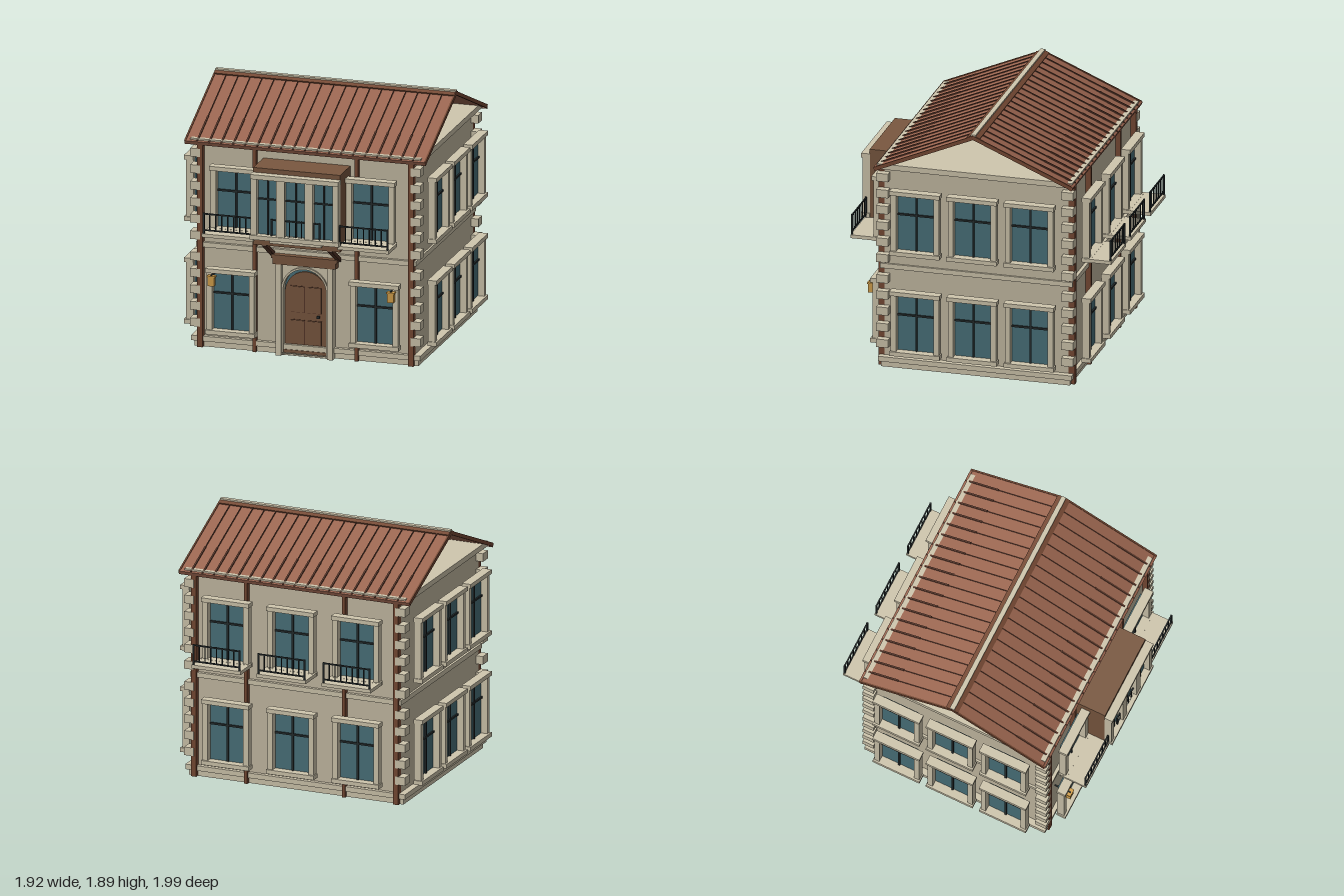
import * as THREE from 'three';

const mat = (color) => new THREE.MeshStandardMaterial({ color });
const M = {
  wall: mat(0xc6bca4), trim: mat(0xd0c7ae), wood: mat(0x7a5840), dark: mat(0x553527),
  post: mat(0x774a34), roof: mat(0x9c6650), seam: mat(0x5d3a2c), glass: mat(0x4a727b),
  iron: mat(0x252c2d), lamp: mat(0xd6a24c),
};

// Box given by its min and max on each axis
function box(parent, name, m, x0, x1, y0, y1, z0, z1) {
  const mesh = new THREE.Mesh(new THREE.BoxGeometry(x1 - x0, y1 - y0, z1 - z0), m);
  mesh.position.set((x0 + x1) / 2, (y0 + y1) / 2, (z0 + z1) / 2);
  mesh.name = name;
  parent.add(mesh);
  return mesh;
}

function group(parent, name, x = 0, y = 0, z = 0, ry = 0) {
  const g = new THREE.Group();
  g.name = name;
  g.position.set(x, y, z);
  g.rotation.y = ry;
  parent.add(g);
  return g;
}

// Framed window, bottom of the sill at y, back plane on local z = 0
function addWindow(parent, x, y, z, ry) {
  const g = group(parent, 'window', x, y, z, ry);
  box(g, 'glass', M.glass, -0.142, 0.142, 0.03, 0.47, -0.012, 0.006);
  box(g, 'mullion', M.iron, -0.007, 0.007, 0.03, 0.47, 0.002, 0.018);
  box(g, 'transomBar', M.iron, -0.142, 0.142, 0.3, 0.314, 0.002, 0.018);
  for (const s of [-1, 1]) box(g, 'jamb', M.trim, s * 0.161 - 0.02, s * 0.161 + 0.02, 0.03, 0.467, 0, 0.056);
  box(g, 'sill', M.trim, -0.189, 0.189, 0, 0.032, 0, 0.07);
  box(g, 'lintel', M.trim, -0.189, 0.189, 0.465, 0.497, 0, 0.07);
}

// Slab with an iron railing along its outer edge
function addBalcony(parent, x, z, ry) {
  const g = group(parent, 'balcony', x, 0, z, ry);
  box(g, 'balconySlab', M.trim, -0.195, 0.195, 0.912, 0.938, 0.02, 0.225);
  for (const y of [0.965, 1.088]) box(g, 'rail', M.iron, -0.187, 0.187, y - 0.005, y + 0.005, 0.211, 0.221);
  for (let i = 0; i < 9; i++) {
    const bx = -0.182 + i * 0.0455;
    const end = i % 8 === 0 ? 0.006 : 0.0035;
    box(g, 'baluster', M.iron, bx - end, bx + end, end > 0.005 ? 0.938 : 0.96, 1.095, 0.216 - end, 0.216 + end);
  }
}

// Upright shape with a semicircular top
function archPath(Type, r, y0, spring) {
  const p = new Type();
  p.moveTo(-r, y0);
  p.lineTo(r, y0);
  p.lineTo(r, spring);
  p.absarc(0, spring, r, 0, Math.PI, false);
  p.lineTo(-r, y0);
  return p;
}

function extrude(parent, name, m, shape, z0, depth) {
  const mesh = new THREE.Mesh(
    new THREE.ExtrudeGeometry(shape, { depth, bevelEnabled: false, curveSegments: 20 }), m);
  mesh.position.z = z0;
  mesh.name = name;
  parent.add(mesh);
}

function addEntrance(parent) {
  const g = group(parent, 'entrance');
  // Arched surround with its raised ring
  const panel = new THREE.Shape();
  panel.moveTo(-0.18, 0);
  panel.lineTo(0.18, 0);
  panel.lineTo(0.18, 0.695);
  panel.lineTo(-0.18, 0.695);
  panel.holes.push(archPath(THREE.Path, 0.165, 0.002, 0.5));
  extrude(g, 'archSurround', M.trim, panel, 0.7, 0.04);
  const ring = archPath(THREE.Shape, 0.178, 0.02, 0.5);
  ring.holes.push(archPath(THREE.Path, 0.163, 0.022, 0.5));
  extrude(g, 'archRing', M.wall, ring, 0.7, 0.055);
  extrude(g, 'fanlight', M.glass, archPath(THREE.Shape, 0.165, 0.02, 0.5), 0.698, 0.006);
  // Door leaf, panels and handle
  extrude(g, 'doorLeaf', M.wood, archPath(THREE.Shape, 0.16, 0.02, 0.475), 0.704, 0.012);
  for (const s of [-1, 1]) {
    for (const [a, b] of [[0.325, 0.525], [0.085, 0.27]]) {
      box(g, 'doorPanelEdge', M.dark, s * 0.065 - 0.055, s * 0.065 + 0.055, a, b, 0.71, 0.719);
      box(g, 'doorPanel', M.wood, s * 0.065 - 0.051, s * 0.065 + 0.051, a + 0.004, b - 0.004, 0.71, 0.724);
    }
    box(g, 'pilaster', M.trim, s * 0.195 - 0.021, s * 0.195 + 0.021, 0, 0.69, 0.7, 0.768);
  }
  box(g, 'doorHandle', M.iron, 0.085, 0.105, 0.295, 0.312, 0.715, 0.735);
  box(g, 'doorstep', M.wood, -0.165, 0.165, 0.015, 0.045, 0.7, 0.745);
  box(g, 'threshold', M.trim, -0.175, 0.175, 0.045, 0.082, 0.7, 0.74);
  // Board over the door
  box(g, 'doorBoard', M.wood, -0.24, 0.24, 0.69, 0.74, 0.7, 0.768);
  box(g, 'doorBoardCap', M.wood, -0.25, 0.25, 0.735, 0.762, 0.7, 0.772);
}

function addBay(parent) {
  const g = group(parent, 'bayWindow');
  box(g, 'bayBody', M.wood, -0.33, 0.33, 0.882, 1.465, 0.7, 0.947);
  box(g, 'bayHead', M.trim, -0.335, 0.335, 1.395, 1.43, 0.945, 1.01);
  box(g, 'baySill', M.trim, -0.338, 0.338, 0.938, 0.97, 0.945, 1.01);
  for (const [x, w] of [[-0.31, 0.022], [-0.108, 0.031], [0.108, 0.031], [0.31, 0.022]])
    box(g, 'bayPost', M.trim, x - w, x + w, 0.965, 1.4, 0.945, 1);
  for (const x of [-0.212, 0, 0.212]) {
    box(g, 'bayGlass', M.glass, x - 0.078, x + 0.078, 0.965, 1.4, 0.945, 0.955);
    box(g, 'bayMullion', M.iron, x - 0.006, x + 0.006, 0.965, 1.4, 0.953, 0.965);
    box(g, 'bayBar', M.iron, x - 0.078, x + 0.078, 1.233, 1.245, 0.953, 0.965);
  }
  // Sloping struts under the bay
  for (const s of [-1, 1]) {
    const strut = box(g, 'strut', M.dark, -0.017, 0.017, -0.014, 0.014, -0.125, 0.125);
    strut.position.set(s * 0.25, 0.82, 0.828);
    strut.rotation.x = -0.56;
  }
}

function addRoof(parent) {
  const g = group(parent, 'roof');
  const pitch = 0.4036, len = 0.81;
  for (const ry of [0, Math.PI]) {
    const side = group(g, 'roofSide', 0, 1.874, 0, ry);
    const slope = group(side, 'slope');
    slope.rotation.x = pitch;
    box(slope, 'roofSheet', M.roof, -0.91, 0.91, -0.018, 0, 0, len);
    box(slope, 'eaveTrim', M.roof, -0.915, 0.915, -0.026, 0.004, len - 0.012, len + 0.006);
    box(slope, 'ridgeFlashing', M.post, -0.912, 0.912, 0, 0.01, 0, 0.05);
    for (const s of [-1, 1]) box(slope, 'vergeTrim', M.post, s * 0.91 - 0.006, s * 0.91 + 0.006, -0.022, 0.006, 0, len);
    // Standing seams
    for (let i = 1; i < 20; i++) {
      const x = -0.91 + i * 0.091;
      box(slope, 'seam', M.seam, x - 0.003, x + 0.003, -0.005, 0.007, 0.04, len);
      box(slope, 'seamFoot', M.seam, x - 0.006, x + 0.006, -0.005, 0.009, 0.52, len);
    }
  }
  box(g, 'ridgeCap', M.trim, -0.912, 0.912, 1.865, 1.888, -0.018, 0.018);
}

export function createModel() {
  const root = new THREE.Group();
  root.name = 'townHouse';
  const house = group(root, 'house', 0, 0, -0.012);

  // Walls, plinth, floor band and cornice
  box(house, 'walls', M.wall, -0.82, 0.82, 0.01, 1.56, -0.7, 0.7);
  box(house, 'plinth', M.trim, -0.85, 0.85, 0, 0.046, -0.712, 0.712);
  box(house, 'plinthCap', M.trim, -0.87, 0.87, 0.044, 0.082, -0.73, 0.73);
  box(house, 'floorBand', M.trim, -0.835, 0.835, 0.755, 0.792, -0.725, 0.725);
  box(house, 'cornice', M.trim, -0.875, 0.875, 1.535, 1.576, -0.735, 0.735);

  // Timber posts and corner stones
  for (const sz of [-1, 1]) {
    for (const sx of [-1, 1]) {
      const z = sz * 0.717;
      box(house, 'cornerPost', M.post, sx * 0.8 - 0.021, sx * 0.8 + 0.021, 0, 1.54, z - 0.023, z + 0.023);
      box(house, 'wallPost', M.post, sx * 0.388 - 0.013, sx * 0.388 + 0.013, 0, 1.54, z - 0.023, z + 0.023);
      for (const y0 of [0.185, 0.845])
        for (let i = 0; i < (y0 < 0.5 ? 5 : 6); i++) {
          const y = y0 + i * 0.125, x = sx * 0.836;
          box(house, 'cornerStone', M.trim, x - 0.038, x + 0.038, y - 0.031, y + 0.031, sz * 0.697 - 0.044, sz * 0.697 + 0.044);
        }
    }
  }

  // Windows on all four sides, balconies on the front and back
  for (const x of [-0.515, 0, 0.515]) {
    for (const [z, ry] of [[0.757, 0], [-0.757, Math.PI]]) {
      addWindow(house, x, 0.907, z, ry);
      addBalcony(house, x, z, ry);
    }
    addWindow(house, x, 0.13, -0.757, Math.PI);
  }
  for (const s of [-1, 1]) {
    addWindow(house, s * 0.545, 0.13, 0.757, 0);
    for (const z of [-0.43, 0, 0.43])
      for (const y of [0.13, 0.907]) addWindow(house, s * 0.89, y, z, s * Math.PI / 2);

    // Wall lanterns
    const lantern = group(house, 'lantern', s * 0.68, 0.54, 0.835);
    box(lantern, 'lanternBody', M.lamp, -0.025, 0.025, -0.036, 0.036, -0.018, 0.018);
    box(lantern, 'lanternCap', M.lamp, -0.031, 0.031, 0.03, 0.041, -0.022, 0.022);
    box(lantern, 'lanternArm', M.iron, -0.005, 0.005, 0.035, 0.047, -0.12, 0.01);
  }

  addEntrance(house);
  addBay(house);
  addRoof(house);
  return root;
}
